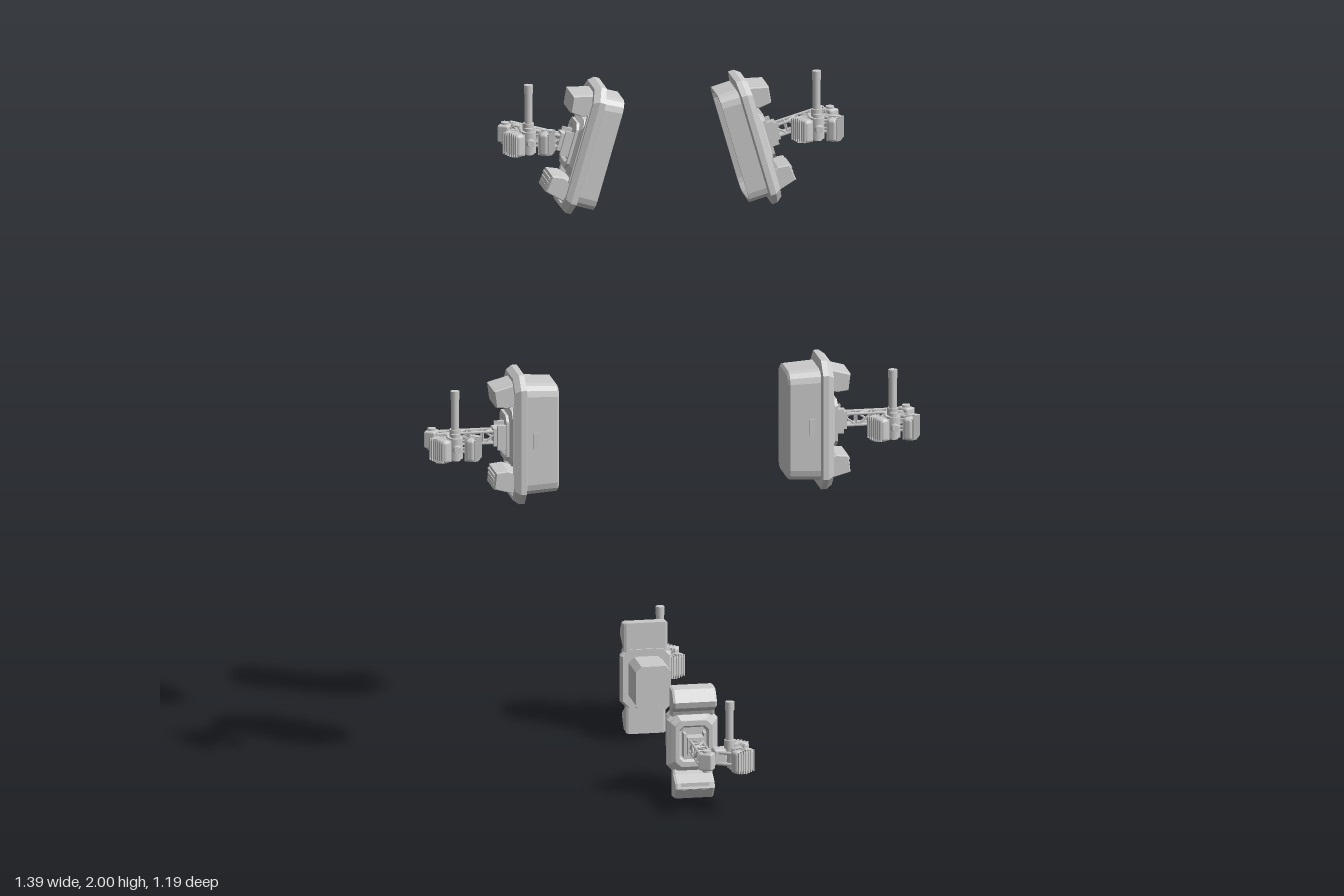
import * as THREE from 'three';
import { RoundedBoxGeometry } from 'three/addons/geometries/RoundedBoxGeometry.js';

const V = (x, y, z) => new THREE.Vector3(x, y, z);
const grey = new THREE.MeshStandardMaterial({ color: 0xcccccc });
grey.name = 'light grey metal';

function add(parent, name, geo, x = 0, y = 0, z = 0) {
  const m = new THREE.Mesh(geo, grey);
  m.name = name;
  m.position.set(x, y, z);
  parent.add(m);
  return m;
}
const box = (p, name, w, h, d, x, y, z) => add(p, name, new THREE.BoxGeometry(w, h, d), x, y, z);
const cyl = (p, name, r, h, x, y, z, n = 12) => add(p, name, new THREE.CylinderGeometry(r, r, h, n), x, y, z);

function strut(p, name, a, b, r) {
  const m = cyl(p, name, r, a.distanceTo(b), 0, 0, 0, 6);
  m.position.copy(a).add(b).multiplyScalar(0.5);
  m.quaternion.setFromUnitVectors(V(0, 1, 0), b.clone().sub(a).normalize());
}

// Closed shell along x through rounded rectangles [x, halfWidth, halfHeight, corner]
function loft(rings, seg = 1) {
  const loops = rings.map(([x, w, h, c]) => {
    const pts = [];
    for (let q = 0; q < 4; q++) for (let i = 0; i <= seg; i++) {
      const a = (q + i / seg) * Math.PI / 2;
      const sx = q === 0 || q === 3 ? 1 : -1, sy = q < 2 ? 1 : -1;
      pts.push(V(x, sy * (h - c) + c * Math.sin(a), -(sx * (w - c) + c * Math.cos(a))));
    }
    return pts;
  });
  const pos = [], tri = (...t) => t.forEach(v => pos.push(v.x, v.y, v.z));
  const n = loops[0].length, last = loops.length - 1;
  const c0 = V(rings[0][0], 0, 0), c1 = V(rings[last][0], 0, 0);
  for (let i = 0; i < n; i++) {
    const j = (i + 1) % n;
    tri(c0, loops[0][j], loops[0][i]);
    tri(c1, loops[last][i], loops[last][j]);
    for (let k = 0; k < last; k++) {
      const a = loops[k], b = loops[k + 1];
      tri(a[i], a[j], b[j]);
      tri(a[i], b[j], b[i]);
    }
  }
  const g = new THREE.BufferGeometry();
  g.setAttribute('position', new THREE.Float32BufferAttribute(pos, 3));
  g.computeVertexNormals();
  return g;
}

// Bracket with an (x, y) profile, centred across z
function bracket(p, name, profile, halfW, flip) {
  const pts = profile.map(([x, y]) => new THREE.Vector2(x, flip ? -y : y));
  const g = new THREE.ExtrudeGeometry(new THREE.Shape(pts), { depth: halfW * 2 - 0.012, bevelEnabled: true, bevelThickness: 0.006, bevelSize: 0.003, bevelOffset: -0.003, bevelSegments: 1 });
  g.translate(0, 0, -halfW + 0.006);
  add(p, name, g);
}

// Square lattice arm
function makeArm(from, to) {
  const g = new THREE.Group();
  g.name = 'latticeArm';
  const s = 0.016, bays = 4, step = (to - from) / bays;
  const corners = [[s, s], [s, -s], [-s, -s], [-s, s]];
  corners.forEach(([y, z], i) => {
    const [y2, z2] = corners[(i + 1) % 4];
    strut(g, 'armRail', V(from, y, z), V(to, y, z), 0.0042);
    for (let k = 0; k < bays; k++) {
      const x = from + k * step;
      const [ya, za, yb, zb] = k % 2 ? [y, z, y2, z2] : [y2, z2, y, z];
      strut(g, 'armBrace', V(x, ya, za), V(x + step, yb, zb), 0.0032);
      strut(g, 'armRung', V(x + step, y, z), V(x + step, y2, z2), 0.0028);
    }
  });
  return g;
}

// Twin-block head with a mast, reaching towards +z
function makeHead() {
  const g = new THREE.Group();
  g.name = 'head';
  const wrist = new THREE.Group();
  wrist.name = 'wrist';
  wrist.position.set(0.052, 0, 0);
  wrist.rotation.y = 0.55;
  g.add(wrist);
  add(wrist, 'wristBlock', new RoundedBoxGeometry(0.034, 0.05, 0.042, 1, 0.006));
  cyl(wrist, 'wristPin', 0.012, 0.062, 0, 0, 0);
  box(g, 'wristLink', 0.05, 0.026, 0.016, 0.025, 0, 0.018);
  // body and side yokes
  add(g, 'headBody', new RoundedBoxGeometry(0.044, 0.045, 0.036, 1, 0.006), 0, 0, 0.045);
  cyl(g, 'hub', 0.02, 0.06, 0, -0.006, 0.088);
  cyl(g, 'hubCap', 0.013, 0.076, 0, -0.004, 0.088);
  add(g, 'frontBoss', new THREE.CylinderGeometry(0.01, 0.014, 0.024, 10).rotateX(Math.PI / 2), 0, -0.005, 0.108);
  for (const s of [-1, 1]) {
    for (const y of [-0.018, 0.014]) {
      strut(g, 'yoke', V(s * 0.012, y, 0.03), V(s * 0.046, y, 0.088), 0.005);
      strut(g, 'yokeBrace', V(s * 0.005, y, 0.085), V(s * 0.045, y, 0.1), 0.004);
    }
    const block = new THREE.Group();
    block.name = 'sideBlock';
    block.position.set(s * 0.047, -0.006, 0.104);
    block.rotation.y = -s * 0.52;
    g.add(block);
    add(block, 'blockCore', new RoundedBoxGeometry(0.028, 0.066, 0.068, 2, 0.01));
    for (let i = -3; i <= 3; i++) box(block, 'blockRib', 0.032, 0.07 - 0.003 * Math.abs(i), 0.004, 0, 0, i * 0.009);
  }
  // mast
  cyl(g, 'mast', 0.0115, 0.125, 0, 0.085, 0.075, 8);
  cyl(g, 'mastTip', 0.013, 0.025, 0, 0.1425, 0.075, 8);
  cyl(g, 'mastBase', 0.016, 0.03, 0, 0.03, 0.075, 8);
  return g;
}

const HOOD = [[0.0, 0.158], [0.012, 0.158], [0.07, 0.142], [0.064, 0.094], [0.03, 0.09], [0.0, 0.1]];
const CLAMP = [[-0.013, 0.16], [0.03, 0.157], [0.055, 0.125], [0.05, 0.108], [0.018, 0.09], [0.012, 0.075], [-0.013, 0.075]];

// Arm mount, arm and head shared by every unit
function outfit(u, reach, tilt) {
  add(u, 'armMount', loft([[-0.005, 0.064, 0.08, 0.02], [0.018, 0.064, 0.08, 0.02], [0.026, 0.052, 0.066, 0.016], [0.034, 0.052, 0.066, 0.016], [0.034, 0.042, 0.052, 0.012], [0.026, 0.036, 0.046, 0.01]]));
  box(u, 'armSocket', 0.045, 0.05, 0.046, 0.042, 0, 0);
  for (const s of [-1, 1]) box(u, 'socketCheek', 0.03, 0.07, 0.008, 0.04, 0, s * 0.028);
  u.add(makeArm(0.05, reach + 0.04));
  const head = makeHead();
  head.position.x = reach;
  head.rotation.z = -tilt;
  u.add(head);
}

function largeUnit(name, open, reach, tilt) {
  const u = new THREE.Group();
  u.name = name;
  const shell = open
    ? [[-0.022, 0.052, 0.125, 0.022], [-0.03, 0.062, 0.14, 0.026], [-0.075, 0.07, 0.154, 0.03], [-0.075, 0.078, 0.163, 0.033]]
    : [[-0.112, 0.07, 0.148, 0.025], [-0.106, 0.077, 0.156, 0.032]];
  add(u, open ? 'openTray' : 'closedPod', loft([...shell, [-0.008, 0.082, 0.162, 0.034]], 3));
  add(u, 'flange', loft([[-0.02, 0.082, 0.166, 0.034], [-0.016, 0.095, 0.186, 0.036], [0.0, 0.095, 0.186, 0.036],
    [0.016, 0.086, 0.175, 0.033], [0.016, 0.076, 0.165, 0.03], [0.0, 0.07, 0.158, 0.028]]));
  if (open) add(u, 'trayPanel', new RoundedBoxGeometry(0.02, 0.15, 0.07, 1, 0.005), -0.026, 0, 0);
  else box(u, 'sideLatch', 0.014, 0.045, 0.006, -0.045, 0, 0.081);
  for (const flip of [false, true]) {
    const s = flip ? -1 : 1;
    bracket(u, flip ? 'lowerHood' : 'upperHood', HOOD, 0.056, flip);
    box(u, 'sideRail', 0.02, 0.2, 0.01, 0.008, 0, s * 0.068);
  }
  for (let i = 0; i < 3; i++) box(u, 'hoodSlat', 0.006, 0.006, 0.09, 0.066, -0.105 - i * 0.013, 0);
  outfit(u, reach, tilt);
  return u;
}

function smallUnit() {
  const u = new THREE.Group();
  u.name = 'lowerUnit';
  add(u, 'podBox', loft([[-0.126, 0.05, 0.063, 0.016], [0.02, 0.05, 0.063, 0.016]]));
  add(u, 'flange', loft([[-0.014, 0.066, 0.084, 0.02], [-0.008, 0.072, 0.088, 0.022], [0.008, 0.072, 0.088, 0.022], [0.014, 0.064, 0.08, 0.02]]));
  for (const flip of [false, true]) bracket(u, flip ? 'lowerClamp' : 'upperClamp', CLAMP, flip ? 0.056 : 0.062, flip);
  box(u, 'clampSlat', 0.006, 0.02, 0.08, 0.05, -0.118, 0);
  outfit(u, 0.172, 0);
  return u;
}

export function createModel() {
  const model = new THREE.Group();
  model.name = 'floatingUnits';
  const tilt = 0.28;
  // upper and middle pairs, mirrored left to right
  for (const s of [1, -1]) {
    const side = new THREE.Group();
    side.name = s > 0 ? 'leftSide' : 'rightSide';
    side.scale.x = s;
    const upper = largeUnit('upperUnit', true, 0.166, tilt);
    upper.position.set(0.25, 1.799, -0.02);
    upper.rotation.z = tilt;
    const middle = largeUnit('middleUnit', false, 0.185, 0);
    middle.position.set(0.437, 0.976, 0);
    side.add(upper, middle);
    model.add(side);
  }
  // lower pair, mirrored front to back
  for (const s of [1, -1]) {
    const end = new THREE.Group();
    end.name = s > 0 ? 'backEnd' : 'frontEnd';
    end.scale.z = s;
    const unit = smallUnit();
    unit.position.set(0, 0.16, s > 0 ? -0.353 : -0.343);
    unit.rotation.y = Math.PI / 2;
    end.add(unit);
    model.add(end);
  }
  return model;
}
